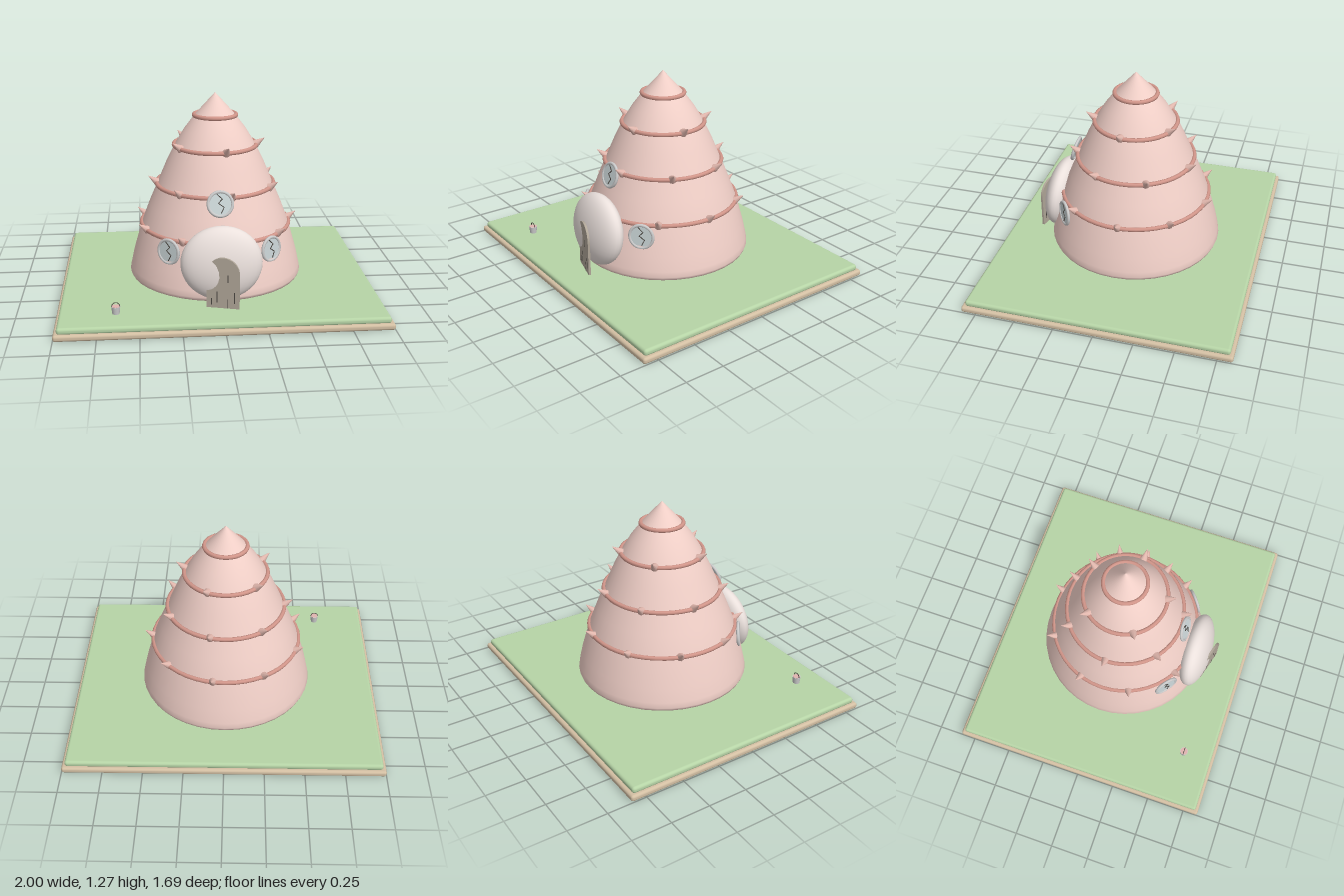
import * as THREE from 'three';
import { RoundedBoxGeometry } from 'three/addons/geometries/RoundedBoxGeometry.js';

const mat = (color, extra = {}) => new THREE.MeshStandardMaterial({ color, ...extra });
const pink = mat(0xf0cfc7), rose = mat(0xd2968a), spikePink = mat(0xe2b8ae);
const green = mat(0xb6d4a6), tan = mat(0xd3bfa3), shell = mat(0xeae0dc);
const wood = mat(0xb0a698), dark = mat(0x4a4641), grey = mat(0xcccccc), glass = mat(0xcbd6d8);

function add(parent, name, geometry, material, x = 0, y = 0, z = 0) {
  const mesh = new THREE.Mesh(geometry, material);
  mesh.name = name;
  mesh.position.set(x, y, z);
  parent.add(mesh);
  return mesh;
}

// Round window facing +z, with a zigzag crack in the pane
function makeWindow(name) {
  const g = new THREE.Group();
  g.name = name;
  add(g, 'windowFrame', new THREE.TorusGeometry(0.074, 0.01, 8, 32), grey);
  add(g, 'windowPane', new THREE.CylinderGeometry(0.074, 0.074, 0.008, 32), glass).rotation.x = Math.PI / 2;
  const zigzag = [[-0.02, 0.06], [0.012, 0.03], [-0.012, 0.005], [0.022, -0.02], [0.005, -0.055]];
  for (let i = 0; i < zigzag.length - 1; i++) {
    const [ax, ay] = zigzag[i], [bx, by] = zigzag[i + 1];
    const bar = add(g, 'windowCrack', new THREE.BoxGeometry(0.005, Math.hypot(bx - ax, by - ay) + 0.003, 0.004),
      dark, (ax + bx) / 2, (ay + by) / 2, 0.005);
    bar.rotation.z = -Math.atan2(bx - ax, by - ay);
  }
  g.rotation.order = 'YXZ';
  return g;
}

// Ring around the cone, with spikes pointing outward and up
function makeRing(radius, y, count, startDegrees) {
  const g = new THREE.Group();
  g.name = 'spikedRing';
  add(g, 'ring', new THREE.TorusGeometry(radius, 0.014, 8, 48), rose, 0, y, 0).rotation.x = Math.PI / 2;
  const up = new THREE.Vector3(0, 1, 0);
  for (let i = 0; i < count; i++) {
    const a = THREE.MathUtils.degToRad(startDegrees) + (i * 2 * Math.PI) / count;
    const r = radius + 0.023;
    const spike = add(g, 'spike', new THREE.ConeGeometry(0.028, 0.078, 10), spikePink,
      Math.cos(a) * r, y + 0.022, Math.sin(a) * r);
    spike.quaternion.setFromUnitVectors(up, new THREE.Vector3(Math.cos(a), 0.72, Math.sin(a)).normalize());
  }
  return g;
}

// Arched plank door, swung slightly open
function makeDoor() {
  const g = new THREE.Group();
  g.name = 'door';
  const w = 0.1, straight = 0.22;
  const s = new THREE.Shape();
  s.moveTo(-w, 0);
  s.lineTo(w, 0);
  s.lineTo(w, straight);
  s.absarc(0, straight, w, 0, Math.PI, false);
  s.closePath();
  add(g, 'doorSlab', new THREE.ExtrudeGeometry(s, { depth: 0.014, bevelEnabled: false, curveSegments: 16 }),
    wood, 0, 0, -0.007);
  for (const [x, y, h] of [[-0.035, 0.07, 0.07], [0.03, 0.19, 0.05], [0.03, 0.03, 0.06], [0.07, 0.07, 0.07], [-0.07, 0.04, 0.04]])
    add(g, 'plankGap', new THREE.BoxGeometry(0.005, h, 0.017), dark, x, y, 0);
  g.position.set(0, 0.075, 0.606);
  g.rotation.y = -0.27;
  return g;
}

function makeBucket() {
  const g = new THREE.Group();
  g.name = 'bucket';
  add(g, 'bucketBody', new THREE.CylinderGeometry(0.027, 0.022, 0.045, 16), grey, 0, 0.0225, 0);
  add(g, 'bucketFill', new THREE.CylinderGeometry(0.024, 0.024, 0.004, 16), mat(0xe0b4b0), 0, 0.045, 0);
  add(g, 'bucketHandle', new THREE.TorusGeometry(0.024, 0.0025, 6, 16, Math.PI), dark, 0, 0.045, 0);
  g.position.set(-0.64, 0.075, 0.635);
  return g;
}

export function createModel() {
  const model = new THREE.Group();
  model.name = 'coneHouse';

  // Ground plate
  add(model, 'basePlate', new RoundedBoxGeometry(2, 0.04, 1.69, 3, 0.016), tan, 0, 0.02, 0);
  add(model, 'lawn', new RoundedBoxGeometry(1.96, 0.042, 1.65, 3, 0.018), green, 0, 0.054, 0);

  // Conical body
  const profile = [[0, 0.074], [0.48, 0.075], [0.525, 0.083], [0.548, 0.095], [0.556, 0.115], [0.55, 0.15], [0.53, 0.24],
    [0.475, 0.43], [0.425, 0.56], [0.37, 0.69], [0.315, 0.82], [0.257, 0.94], [0.197, 1.04], [0.13, 1.13], [0, 1.273]]
    .map(([r, y]) => new THREE.Vector2(r, y));
  add(model, 'coneBody', new THREE.LatheGeometry(profile, 40), pink);

  // Rings: radius, height, spikes, first angle
  for (const [r, y, n, a] of [[0.477, 0.43, 9, -1], [0.375, 0.69, 7, 27], [0.262, 0.94, 5, 7], [0.133, 1.13, 0, 0]])
    model.add(makeRing(r, y, n, a));

  // Bulging entrance
  const porch = add(model, 'porch', new THREE.SphereGeometry(1, 32, 20), shell, 0, 0.325, 0.505);
  porch.scale.set(0.25, 0.228, 0.1);
  porch.rotation.x = -0.12;
  model.add(makeDoor());

  // Windows: one above the porch, one on each side
  const upper = makeWindow('upperWindow');
  upper.position.set(0, 0.665, 0.405);
  upper.rotation.x = -0.27;
  model.add(upper);
  for (const side of [-1, 1]) {
    const w = makeWindow(side > 0 ? 'leftWindow' : 'rightWindow');
    const a = side * 0.68;
    w.position.set(Math.sin(a) * 0.503, 0.363, Math.cos(a) * 0.503);
    w.rotation.set(-0.06, a, 0);
    model.add(w);
  }

  model.add(makeBucket());
  return model;
}
